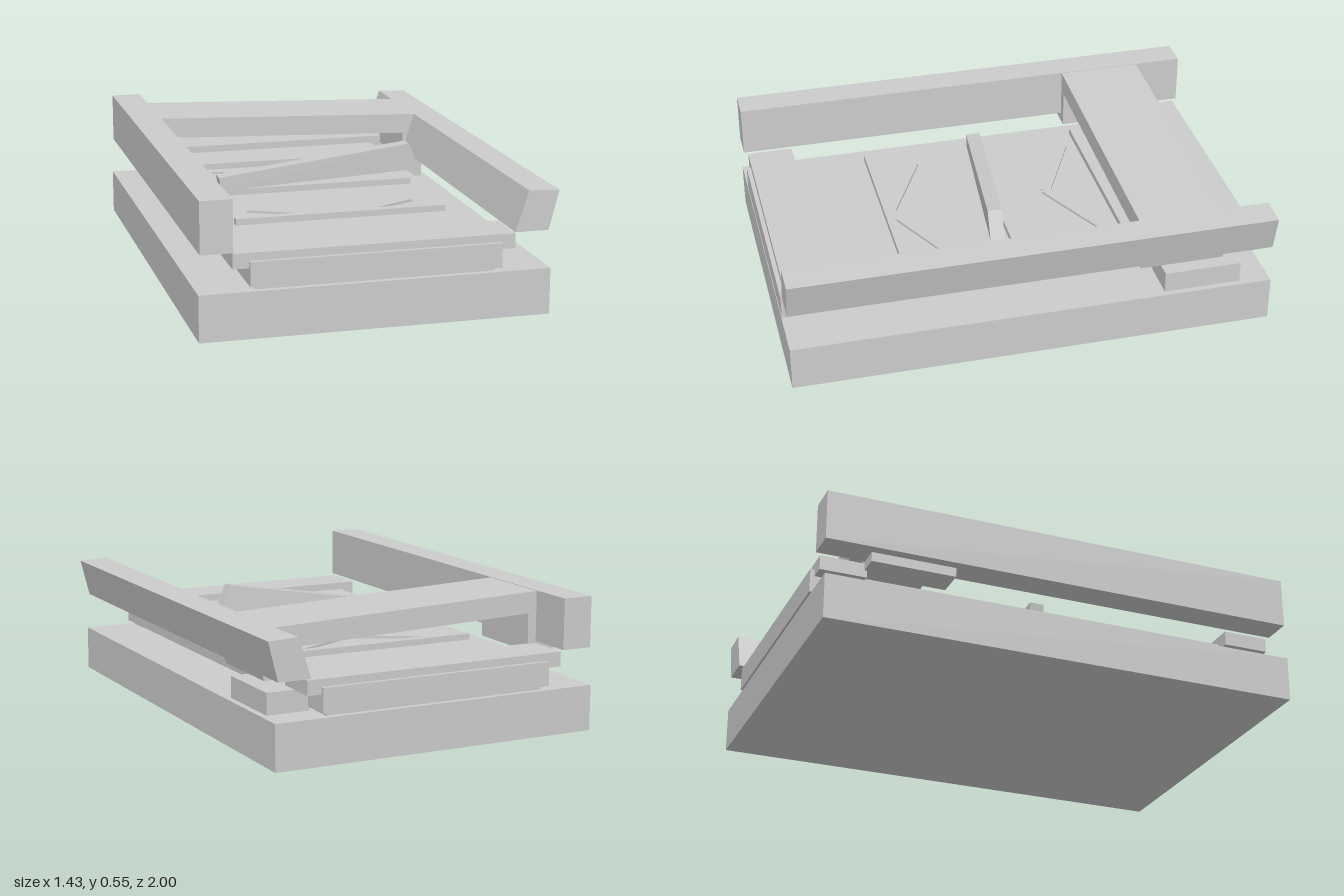
import * as THREE from 'three';

const material = new THREE.MeshStandardMaterial({ color: 0xcccccc, flatShading: true });

export function createModel() {
  const group = new THREE.Group();

  const add = (name, geometry) => {
    const mesh = new THREE.Mesh(geometry, material);
    mesh.name = name;
    group.add(mesh);
    return mesh;
  };

  // Box given by its extents on each axis
  const box = (name, [x0, x1], [y0, y1], [z0, z1]) => {
    const mesh = add(name, new THREE.BoxGeometry(x1 - x0, y1 - y0, z1 - z0));
    mesh.position.set((x0 + x1) / 2, (y0 + y1) / 2, (z0 + z1) / 2);
    return mesh;
  };

  // Front outline extruded from z0 to z1
  const prism = (name, points, z0, z1) => {
    const shape = new THREE.Shape(points.map(([x, y]) => new THREE.Vector2(x, y)));
    const geometry = new THREE.ExtrudeGeometry(shape, { depth: z1 - z0, bevelEnabled: false });
    geometry.translate(0, 0, z0);
    return add(name, geometry);
  };

  // Base slab and raised deck
  box('base', [-0.715, 0.685], [0, 0.187], [-1, 1]);
  box('deck', [-0.515, 0.485], [0.203, 0.302], [-1, 1]);

  // Spacers between base and deck, and slats across the deck ends
  for (const side of [1, -1]) {
    const span = (a, b) => (side > 0 ? [a, b] : [-b, -a]);
    box('deckSpacer', [-0.49, 0.46], [0.18, 0.21], span(0.87, 0.975));
    box('endSlat', [-0.58, 0.543], [0.273, 0.333], span(0.79, 0.982));
  }
  for (const z of [0.13, -0.3]) {
    box('smallSpacer', [-0.03, 0], [0.18, 0.21], [z - 0.02, z + 0.02]);
  }

  // Thin slats on the deck
  for (const z of [0.468, -0.003, -0.474]) {
    box('thinSlat', [-0.455, 0.425], [0.3, 0.328], [z - 0.019, z + 0.019]);
  }

  // V-shaped braces: two arms meeting toward the front
  for (const z of [0.455, -0.225]) {
    for (const side of [-1, 1]) {
      const dx = 0.345, dz = 0.17;
      const arm = add('braceArm', new THREE.BoxGeometry(Math.hypot(dx, dz), 0.03, 0.042));
      arm.position.set(-0.015 + side * dx / 2, 0.297, z - dz / 2);
      arm.rotation.y = side * Math.atan2(dz, dx);
    }
  }

  // Upright rail and leaning rail
  box('uprightRail', [-0.707, -0.58], [0.342, 0.55], [-1, 1]);
  prism('leaningRail', [[0.535, 0.342], [0.672, 0.342], [0.712, 0.5], [0.588, 0.505]], -1, 1);

  // Sloping crossbeam with legs
  prism('crossbeam', [
    [-0.665, 0.303], [-0.542, 0.303], [-0.542, 0.459], [0.536, 0.42],
    [0.53, 0.303], [0.636, 0.303], [0.645, 0.342], [0.62, 0.5], [0.585, 0.505],
    [-0.58, 0.548], [-0.665, 0.548],
  ], -0.8, -0.45);

  // Block at the back corner
  box('cornerBlock', [0.48, 0.66], [0.185, 0.275], [-0.872, -0.55]);

  // Loose bar, tilted and tapered: unit box moved between two end sections
  const bar = new THREE.BoxGeometry(1, 1, 1);
  const p = bar.attributes.position;
  const ends = {
    low: { bottom: [-0.415, 0.328], top: [-0.425, 0.385], z: 0 },
    high: { bottom: [0.43, 0.395], top: [0.38, 0.508], z: 0.097 },
  };
  for (let i = 0; i < p.count; i++) {
    const end = p.getX(i) > 0 ? ends.high : ends.low;
    const [x, y] = p.getY(i) > 0 ? end.top : end.bottom;
    p.setXYZ(i, x, y, end.z + p.getZ(i) * 0.06);
  }
  bar.computeVertexNormals();
  add('looseBar', bar);

  return group;
}
